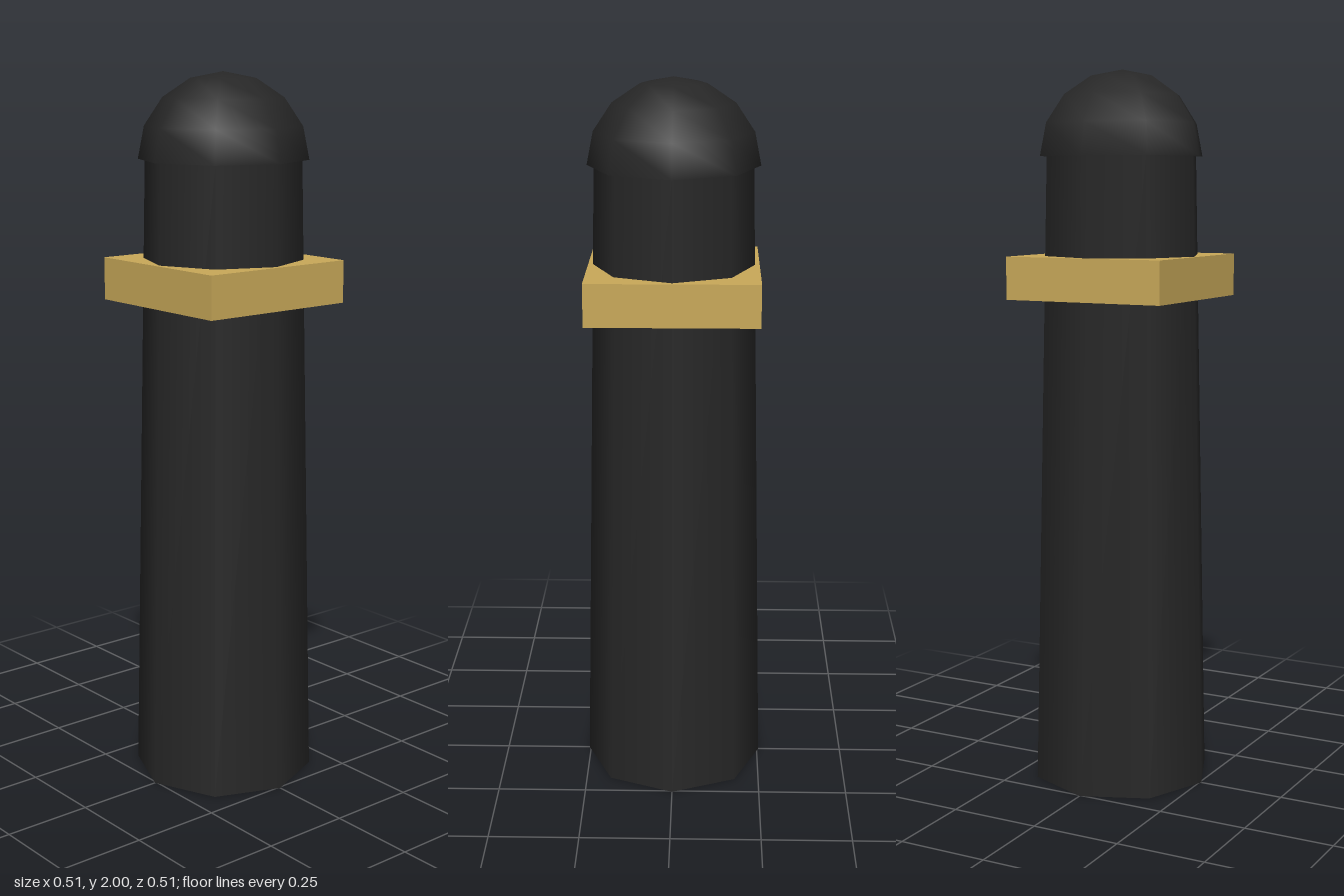
import * as THREE from 'three';

export function createModel() {
  const model = new THREE.Group();
  model.name = 'bollard';

  const black = new THREE.MeshStandardMaterial({ color: 0x272727, side: THREE.DoubleSide });
  black.name = 'black iron';
  const gold = new THREE.MeshStandardMaterial({ color: 0xc9a959 });
  gold.name = 'gold';

  const sides = 8;
  const domeRadius = 0.235;
  const postHeight = 2 - domeRadius;

  const add = (name, geometry, material, y) => {
    const mesh = new THREE.Mesh(geometry, material);
    mesh.name = name;
    mesh.position.y = y;
    model.add(mesh);
  };

  // Tapered eight-sided post
  add('post', new THREE.CylinderGeometry(0.216, 0.255, postHeight, sides), black, postHeight / 2);

  // Half-dome cap overhanging the post
  add('domeCap',
    new THREE.SphereGeometry(domeRadius, sides, 4, 0, Math.PI * 2, 0, Math.PI / 2),
    black, postHeight);

  // Square collar
  add('collar', new THREE.BoxGeometry(0.47, 0.118, 0.47), gold, 1.434);

  return model;
}
